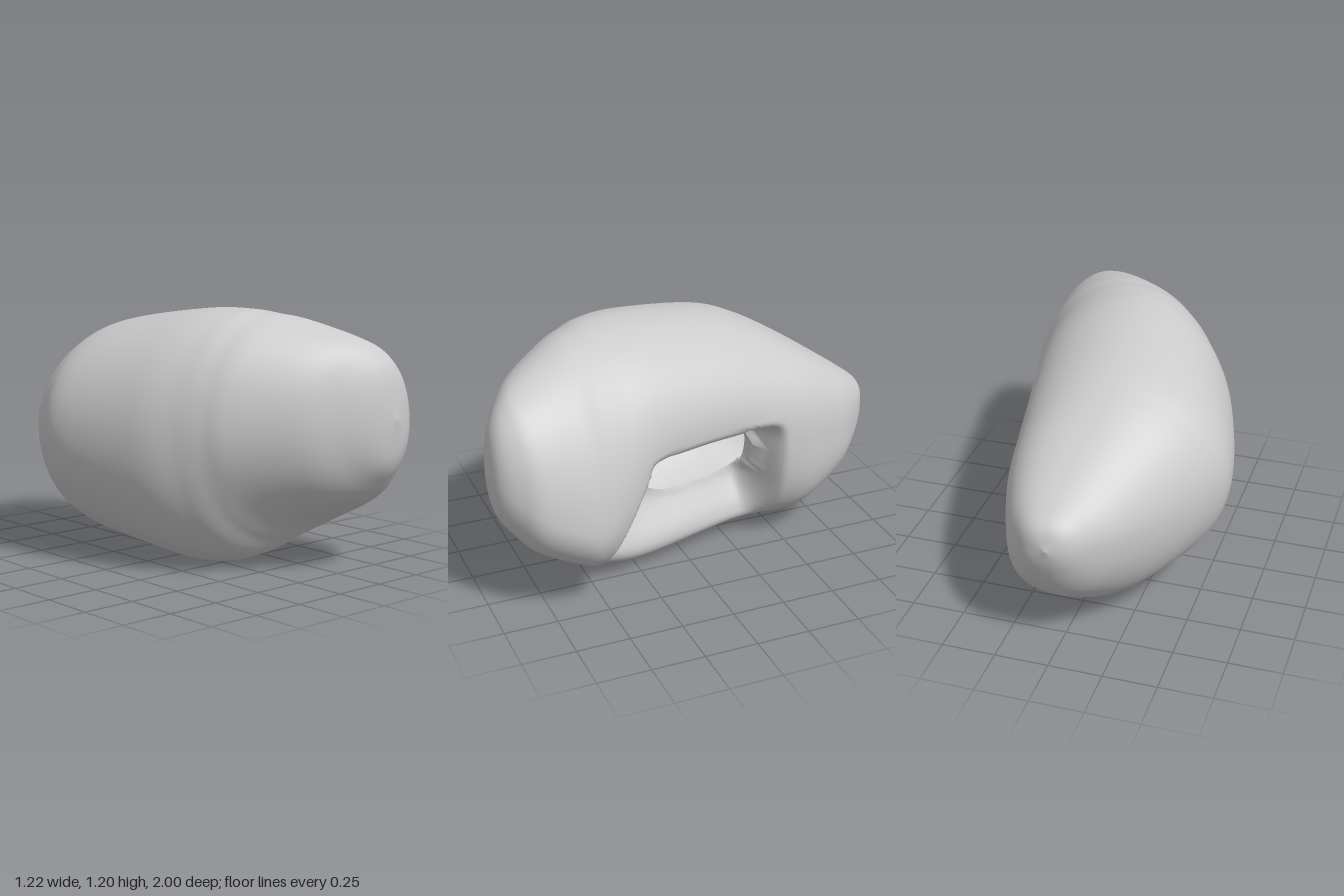
import * as THREE from 'three';

// Cross-sections from front to back:
// z, top x, top y, right x, right y, bottom x, bottom y, left x, left y
const SECTIONS = [
  [1.0, 0.35, 0.72, 0.35, 0.72, 0.35, 0.72, 0.35, 0.72],
  [0.97, 0.34, 0.92, 0.46, 0.7, 0.35, 0.53, 0.23, 0.72],
  [0.9, 0.3, 1.03, 0.535, 0.64, 0.36, 0.42, 0.09, 0.73],
  [0.8, 0.23, 1.09, 0.59, 0.56, 0.37, 0.32, -0.08, 0.73],
  [0.6, 0.11, 1.16, 0.605, 0.46, 0.33, 0.205, -0.29, 0.7],
  [0.5, 0.05, 1.18, 0.58, 0.47, 0.2, 0.13, -0.36, 0.69],
  [0.4, 0.0, 1.195, 0.54, 0.55, 0.09, 0.05, -0.42, 0.68],
  [0.2, -0.04, 1.19, 0.46, 0.72, 0.05, 0.0, -0.52, 0.66],
  [-0.2, -0.09, 1.13, 0.375, 0.73, 0.02, 0.05, -0.615, 0.63],
  [-0.4, -0.1, 1.06, 0.35, 0.64, 0.0, 0.075, -0.56, 0.62],
  [-0.6, -0.06, 0.95, 0.32, 0.54, 0.0, 0.11, -0.435, 0.6],
  [-0.8, -0.01, 0.82, 0.25, 0.52, 0.0, 0.24, -0.28, 0.59],
  [-0.9, 0.0, 0.75, 0.18, 0.55, 0.0, 0.35, -0.18, 0.59],
  [-0.97, 0.0, 0.69, 0.1, 0.59, 0.0, 0.49, -0.09, 0.59],
  [-1.0, 0.0, 0.6, 0.0, 0.6, 0.0, 0.6, 0.0, 0.6],
];
const ROWS = 160, SIDES = 200;
const smooth = THREE.MathUtils.smoothstep;

// Rail curve through one extreme (top, right, bottom or left) of all sections
const rail = (k) => new THREE.CatmullRomCurve3(
  SECTIONS.map((s) => new THREE.Vector3(s[k], s[k + 1], s[0])), false, 'catmullrom', 0.5);

// Hollow on the inner (+x) side: overhanging roof and front lobe, floor sloping down and out
function dent(y, z) {
  const front = THREE.MathUtils.mapLinear(THREE.MathUtils.clamp(y, 0.18, 0.62), 0.18, 0.62, 0.52, 0.27);
  const along = (1 - smooth(z, front - 0.07, front + 0.03)) * smooth(z, -0.46, -0.3);
  const up = (1 - smooth(y, 0.6, 0.7)) * smooth(y, 0.05, 0.38);
  return 0.27 * along * up;
}

// Rounded opening in the hollow; below 1 is inside
const HOLE = { z: -0.075, y: 0.475, rz: 0.275, ry: 0.15 };
const opening = (y, z) =>
  Math.cbrt(Math.abs((z - HOLE.z) / HOLE.rz) ** 3 + Math.abs((y - HOLE.y) / HOLE.ry) ** 3);

function lobeGeometry() {
  const [top, right, bottom, left] = [1, 3, 5, 7].map(rail);
  const pos = [], index = [];
  for (let i = 0; i <= ROWS; i++) {
    const u = i / ROWS;
    const T = top.getPoint(u), R = right.getPoint(u), B = bottom.getPoint(u), L = left.getPoint(u);
    // the inner face grows flatter towards the back
    const power = 1 - 0.25 * smooth(-T.z, 0.2, 0.7);
    for (let j = 0; j < SIDES; j++) {
      const a = (j / SIDES) * Math.PI * 2, c = Math.cos(a), s = Math.sin(a);
      const V = s >= 0 ? T : B, H = c >= 0 ? R : L, e = c >= 0 ? power : 1;
      // rounded quarter between neighbouring extremes
      let x = V.x + (H.x - V.x) * Math.abs(c) ** e;
      let y = H.y + (V.y - H.y) * Math.abs(s) ** e, z = T.z;
      if (c > 0) {
        x -= dent(y, z) * smooth(c, 0.1, 0.55);
        // pull vertices beside the opening onto its rim
        const f = opening(y, z);
        if (f > 0.9 && f < 1.1) {
          y = HOLE.y + (y - HOLE.y) / f;
          z = HOLE.z + (z - HOLE.z) / f;
        }
      }
      pos.push(x, y, z);
    }
  }
  const quad = (a, b, c, d) => {
    const mid = [0, 1, 2].map((k) => [a, b, c, d].reduce((sum, v) => sum + pos[v * 3 + k] / 4, 0));
    if (mid[0] < 0 || opening(mid[1], mid[2]) > 0.995) index.push(a, b, c, b, d, c);
  };
  for (let i = 0; i < ROWS; i++) {
    for (let j = 0; j < SIDES; j++) {
      const n = (j + 1) % SIDES;
      quad(i * SIDES + j, (i + 1) * SIDES + j, i * SIDES + n, (i + 1) * SIDES + n);
    }
  }
  const g = new THREE.BufferGeometry();
  g.setAttribute('position', new THREE.Float32BufferAttribute(pos, 3));
  g.setIndex(index);
  g.computeVertexNormals();
  return g;
}

export function createModel() {
  const group = new THREE.Group();
  group.name = 'brainHemisphere';
  const shell = new THREE.Mesh(lobeGeometry(),
    new THREE.MeshStandardMaterial({ color: 0xcccccc, side: THREE.DoubleSide }));
  shell.name = 'hemisphereShell';
  group.add(shell);
  return group;
}
